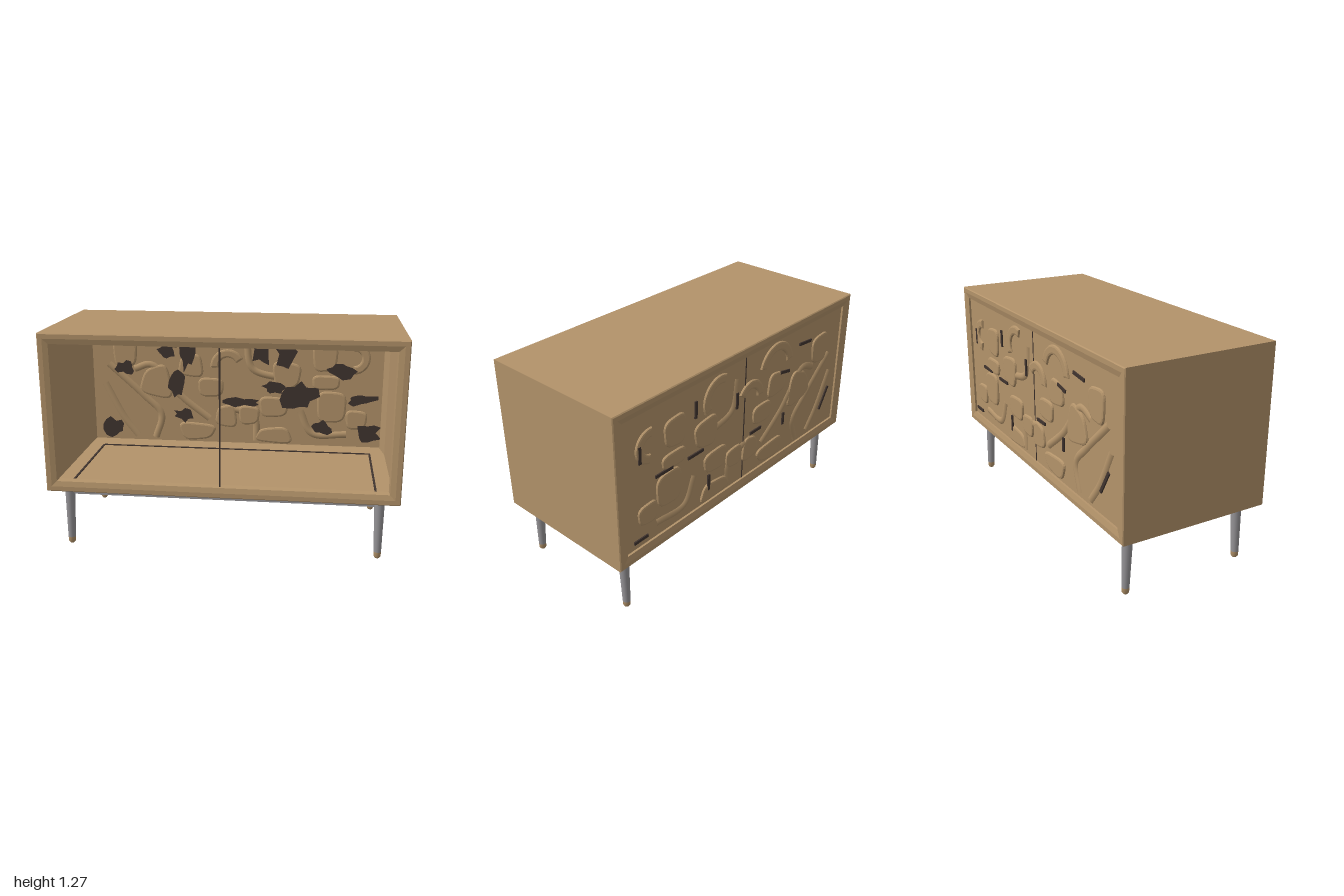
import * as THREE from 'three';

const wood = new THREE.MeshStandardMaterial({ color: 0xb3936a });
wood.name = 'wood';
const metal = new THREE.MeshStandardMaterial({ color: 0x969497 });
metal.name = 'grey metal';
const dark = new THREE.MeshStandardMaterial({ color: 0x40342f });
dark.name = 'dark recess';

const PANEL_Z = -0.405;
const Y0 = 0.355, Y1 = 1.27;

function add(parent, name, geometry, material, x = 0, y = 0, z = 0, turn = 0) {
  const mesh = new THREE.Mesh(geometry, material);
  mesh.name = name;
  mesh.position.set(x, y, z);
  mesh.rotation.z = turn;
  parent.add(mesh);
}
const box = (w, h, d) => new THREE.BoxGeometry(w, h, d);

// Sweep a closed [inset, z] profile around the rectangle, with mitred corners
function frameGeometry(profile) {
  const rings = profile.map(([i, z]) => [
    [-1 + i, Y0 + i, z], [1 - i, Y0 + i, z], [1 - i, Y1 - i, z], [-1 + i, Y1 - i, z]]);
  const pos = [];
  rings.forEach((a, r) => {
    const b = rings[(r + 1) % rings.length];
    for (let s = 0; s < 4; s++) {
      const t = (s + 1) % 4;
      for (const p of [a[s], a[t], b[t], a[s], b[t], b[s]]) pos.push(...p);
    }
  });
  const g = new THREE.BufferGeometry();
  g.setAttribute('position', new THREE.Float32BufferAttribute(pos, 3));
  g.computeVertexNormals();
  return g;
}

// Raised carving that stands out on both faces of the panel
function carving(parent, shape, x, y) {
  const g = new THREE.ExtrudeGeometry(shape, {
    depth: 0.046, bevelThickness: 0.01, bevelSize: 0.012, bevelSegments: 2, curveSegments: 10 });
  g.translate(0, 0, -0.023);
  add(parent, 'carvedRelief', g, wood, x, y, PANEL_Z);
}

// Rounded block: a softened, slightly lopsided rectangle
function blobShape(w, h, lean) {
  const pts = [];
  for (let i = 0; i < 28; i++) {
    const a = (i / 28) * Math.PI * 2, c = Math.cos(a), s = Math.sin(a);
    const px = Math.sign(c) * Math.sqrt(Math.abs(c)) * w / 2;
    const py = Math.sign(s) * Math.sqrt(Math.abs(s)) * h / 2;
    pts.push(new THREE.Vector2(px * (1 + lean * py / h), py * (1 - lean * px / w)));
  }
  return new THREE.Shape(pts);
}

// Curved band
function archShape(r, a0, a1) {
  const s = new THREE.Shape();
  s.absarc(0, 0, r, a0, a1, false);
  s.absarc(0, 0, r - 0.03, a1, a0, true);
  return s;
}

// Ragged outline filling a w by h area
function raggedShape(w, h, random) {
  const pts = [];
  for (let i = 0; i < 13; i++) {
    const a = (i / 13) * Math.PI * 2, r = 0.3 + 0.36 * random();
    pts.push(new THREE.Vector2(Math.cos(a) * r * w, Math.sin(a) * r * h));
  }
  return new THREE.Shape(pts);
}

export function createModel() {
  const model = new THREE.Group();
  model.name = 'sideboard';

  // Open case with shallow mitred rims
  add(model, 'case', frameGeometry([
    [0, -0.44], [0, 0.44], [0.005, 0.445], [0.03, 0.445], [0.06, 0.437], [0.065, 0.4],
    [0.035, 0.4], [0.035, -0.33], [0.065, -0.365], [0.062, -0.437], [0.03, -0.445], [0.005, -0.445],
  ]), wood);

  // Slim strip down the middle of the opening
  add(model, 'centreStrip', box(0.008, 0.795, 0.008), dark, 0, 0.8125, 0.42);

  // Grooves around the case floor
  add(model, 'floorGrooveBack', box(1.74, 0.006, 0.012), dark, 0, 0.392, -0.325);
  for (const s of [-1, 1]) add(model, 'floorGrooveSide', box(0.012, 0.006, 0.66), dark, s * 0.87, 0.392, 0.005);

  // Carved back panel
  const panel = new THREE.Group();
  panel.name = 'carvedPanel';
  model.add(panel);
  add(panel, 'panelBoard', box(1.88, 0.795, 0.04), wood, 0, 0.8125, PANEL_Z);
  add(panel, 'panelSeam', box(0.007, 0.79, 0.006), dark, 0, 0.8125, PANEL_Z - 0.019);

  // Flowing ridges
  const ridges = [
    [[-0.83, 0.93], [-0.6, 0.72], [-0.49, 0.6], [-0.53, 0.44]],
    [[-0.86, 0.8], [-0.74, 0.57], [-0.65, 0.45]],
    [[-0.66, 0.9], [-0.55, 0.93], [-0.35, 0.72], [-0.17, 0.58]],
    [[-0.06, 0.66], [0.12, 0.6], [0.14, 0.44]],
    [[0.42, 0.65], [0.5, 0.5], [0.72, 0.5]],
    [[0.07, 1.1], [0.11, 0.92], [0.3, 0.86]],
  ];
  for (const pts of ridges) {
    const curve = new THREE.CatmullRomCurve3(pts.map(([x, y]) => new THREE.Vector3(x, y, 0)));
    add(panel, 'carvedRidge', new THREE.TubeGeometry(curve, 24, 0.031, 12), wood, 0, 0, PANEL_Z);
  }

  // Rounded raised blocks: x, y, width, height, lean
  const blobs = [
    [-0.72, 1.0, 0.13, 0.16, 0.2], [-0.52, 0.82, 0.17, 0.18, -0.5], [-0.16, 0.79, 0.14, 0.1, 0.1],
    [-0.25, 0.49, 0.2, 0.09, 0.4], [-0.06, 0.6, 0.11, 0.12, -0.3], [0.09, 0.61, 0.11, 0.1, 0.2],
    [0.25, 0.67, 0.16, 0.11, 0.2], [0.25, 0.48, 0.2, 0.08, -0.4], [0.62, 0.68, 0.16, 0.18, 0.1],
    [0.57, 1.0, 0.13, 0.15, 0.2], [0.33, 0.88, 0.15, 0.15, 0.3], [0.58, 0.84, 0.15, 0.07, 0.1],
    [0.78, 0.6, 0.11, 0.1, 0.2], [-0.29, 0.93, 0.13, 0.12, -0.3],
  ];
  for (const [x, y, w, h, lean] of blobs) carving(panel, blobShape(w, h, lean), x, y);

  // Arched bands: x, y, radius, start and end angle
  const arches = [[-0.28, 1.04, 0.14, 0.3, 3], [0.75, 1, 0.09, -1.4, 1.6],
    [0.22, 1.05, 0.12, -0.4, 1.9], [-0.05, 0.93, 0.1, 0.6, 3.1]];
  for (const [x, y, r, a0, a1] of arches) carving(panel, archShape(r, a0, a1), x, y);

  // Dark ragged patches on the inner face: x, y, width, height
  const patches = [
    [-0.65, 1.14, 0.24, 0.13], [-0.72, 0.91, 0.12, 0.09], [-0.45, 1.02, 0.1, 0.1], [-0.31, 1.02, 0.11, 0.23],
    [-0.15, 1.11, 0.1, 0.07], [-0.38, 0.81, 0.1, 0.18], [-0.34, 0.6, 0.14, 0.08], [-0.8, 0.5, 0.14, 0.13],
    [0.17, 1.07, 0.13, 0.24], [0.33, 1.04, 0.14, 0.21], [0.56, 1.17, 0.12, 0.06], [0.72, 1.13, 0.14, 0.11],
    [0.67, 0.92, 0.17, 0.09], [0.41, 0.75, 0.22, 0.19], [0.25, 0.8, 0.15, 0.08], [0.05, 0.7, 0.22, 0.06],
    [0.8, 0.74, 0.2, 0.08], [0.56, 0.54, 0.12, 0.09], [0.85, 0.52, 0.16, 0.13],
  ];
  let seed = 7;
  const random = () => (seed = (seed * 16807) % 2147483647) / 2147483647;
  for (const [x, y, w, h] of patches) {
    add(panel, 'darkRecess', new THREE.ShapeGeometry(raggedShape(w, h, random)), dark, x, y, PANEL_Z + 0.036);
  }

  // Dark slots on the outer face: x, y, length, angle
  const slots = [[0.83, 0.98, 0.1, 1.57], [0.66, 0.8, 0.13, 0], [0.42, 0.79, 0.12, 0], [0.31, 0.55, 0.1, 1.57],
    [0.08, 0.97, 0.1, 1.57], [-0.1, 0.7, 0.1, 0], [-0.36, 0.98, 0.09, 0.2], [-0.37, 0.66, 0.08, 1.57],
    [-0.81, 0.62, 0.16, -1.05], [0.84, 0.47, 0.1, 0], [0.42, 1.06, 0.1, 1.57], [-0.55, 1.1, 0.12, 0.1]];
  for (const [x, y, length, turn] of slots) {
    add(panel, 'darkSlot', box(length, 0.018, 0.008), dark, x, y, PANEL_Z - 0.031, turn);
  }

  // Tapered, slightly splayed legs with wooden tips and collars
  const tipProfile = [[0, 0], [0.013, 0.002], [0.02, 0.012], [0.0215, 0.04]];
  const tip = new THREE.LatheGeometry(tipProfile.map(([x, y]) => new THREE.Vector2(x, y)), 16);
  const collar = new THREE.CylinderGeometry(0.0315, 0.031, 0.02, 16);
  for (const sx of [-1, 1]) for (const sz of [-1, 1]) {
    const shaft = new THREE.CylinderGeometry(0.03, 0.0215, 0.32, 16);
    const p = shaft.attributes.position;
    for (let i = 0; i < p.count; i++) {
      const t = p.getY(i) / 0.32 + 0.5;
      p.setX(i, p.getX(i) - sx * 0.003 * t);
      p.setZ(i, p.getZ(i) - sz * 0.011 * t);
    }
    add(model, 'leg', shaft, metal, sx * 0.896, 0.2, sz * 0.36);
    add(model, 'legTip', tip, wood, sx * 0.896, 0, sz * 0.36);
    add(model, 'legCollar', collar, wood, sx * 0.893, 0.345, sz * 0.349);
  }

  // Rails joining the legs; the front one is faced with wood on its inner side
  add(model, 'frontRail', box(1.74, 0.045, 0.03), [metal, metal, metal, metal, metal, wood], 0, 0.3335, 0.345);
  add(model, 'backRail', box(1.74, 0.045, 0.03), metal, 0, 0.3335, -0.345);
  for (const s of [-1, 1]) add(model, 'sideRail', box(0.03, 0.045, 0.65), metal, s * 0.89, 0.3335, 0);
  return model;
}
